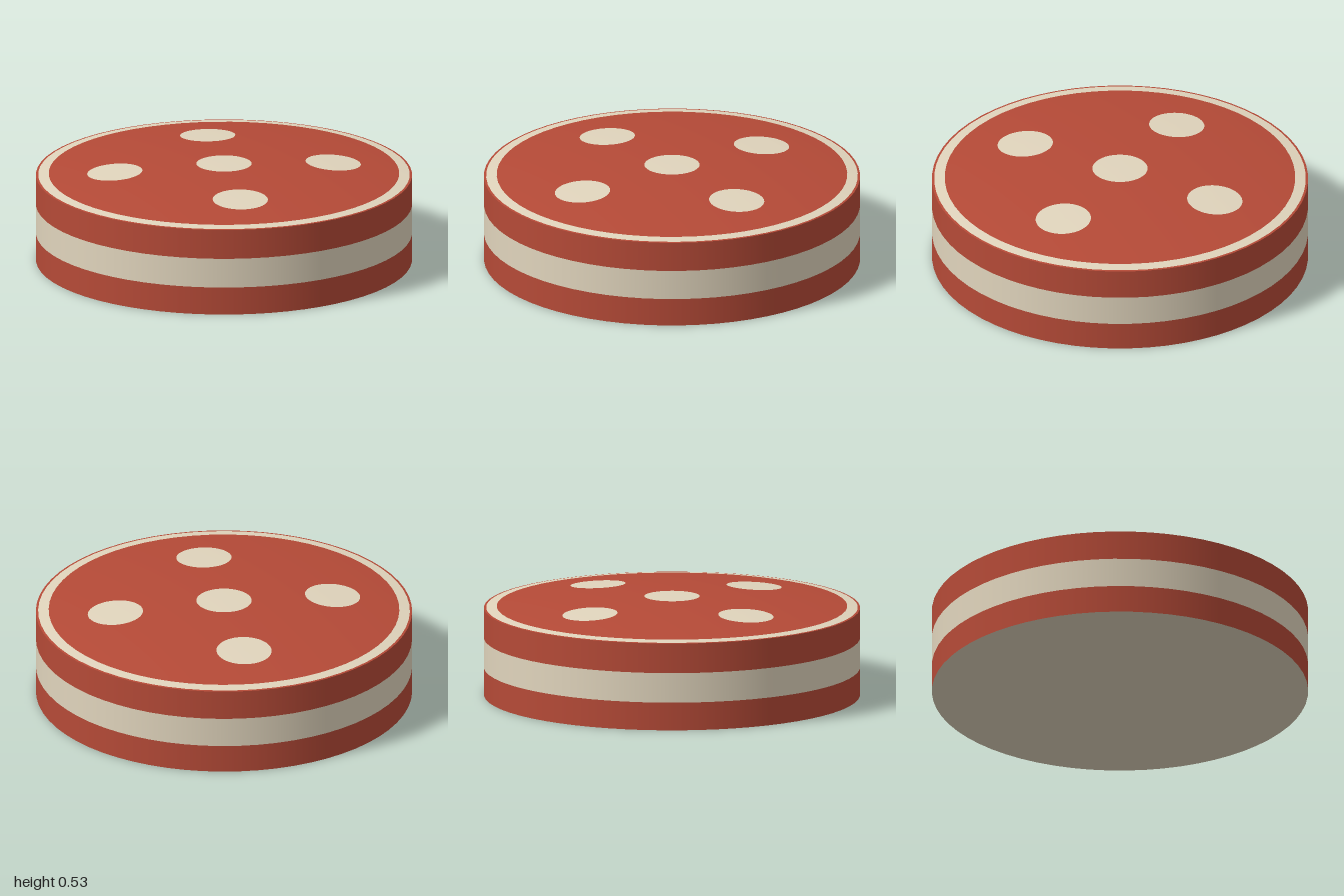
import * as THREE from 'three';

const SEGMENTS = 64;
const RIM = 0.47;
const RISE = 0.062;

// Height of the shallow domed top at radius r
const domeY = (r) => RIM + RISE * (1 - r * r);

export function createModel() {
  const group = new THREE.Group();
  const red = new THREE.MeshStandardMaterial({ color: 0xb54a37 });
  red.name = 'brick red';
  const cream = new THREE.MeshStandardMaterial({ color: 0xe0d4bc });
  cream.name = 'cream';

  const add = (name, geometry, material) => {
    const mesh = new THREE.Mesh(geometry, material);
    mesh.name = name;
    group.add(mesh);
    return mesh;
  };
  const lathe = (name, points, material) =>
    add(name, new THREE.LatheGeometry(points.map(([r, y]) => new THREE.Vector2(r, y)), SEGMENTS), material);

  // Flat underside and the three side bands
  lathe('underside', [[0, 0], [1, 0]], cream);
  lathe('lowerBand', [[1, 0], [1, 0.15]], red);
  lathe('middleBand', [[1, 0.15], [1, 0.31]], cream);
  lathe('upperBand', [[1, 0.31], [1, RIM]], red);

  // Domed top in concentric zones, from the rim to the centre
  const dome = (name, outer, inner, steps, material) => {
    const points = [];
    for (let i = 0; i <= steps; i++) {
      const r = outer + (inner - outer) * (i / steps);
      points.push([r, domeY(r)]);
    }
    lathe(name, points, material);
  };
  dome('topEdge', 1, 0.988, 1, red);
  dome('topRing', 0.988, 0.932, 2, cream);
  dome('topDome', 0.932, 0, 20, red);

  // Painted dots that follow the dome
  const dot = (name, x, z) => {
    const geometry = new THREE.RingGeometry(0, 0.147, 40, 4);
    geometry.rotateX(-Math.PI / 2);
    geometry.translate(x, 0, z);
    const p = geometry.attributes.position;
    for (let i = 0; i < p.count; i++) {
      p.setY(i, domeY(Math.hypot(p.getX(i), p.getZ(i))) + 0.002);
    }
    geometry.computeVertexNormals();
    add(name, geometry, cream);
  };
  dot('centreDot', 0, 0);
  for (const [sx, side] of [[1, 'Left'], [-1, 'Right']]) {
    for (const [sz, end] of [[1, 'front'], [-1, 'back']]) {
      dot(`${end}${side}Dot`, sx * 0.415, sz * 0.415);
    }
  }

  return group;
}
